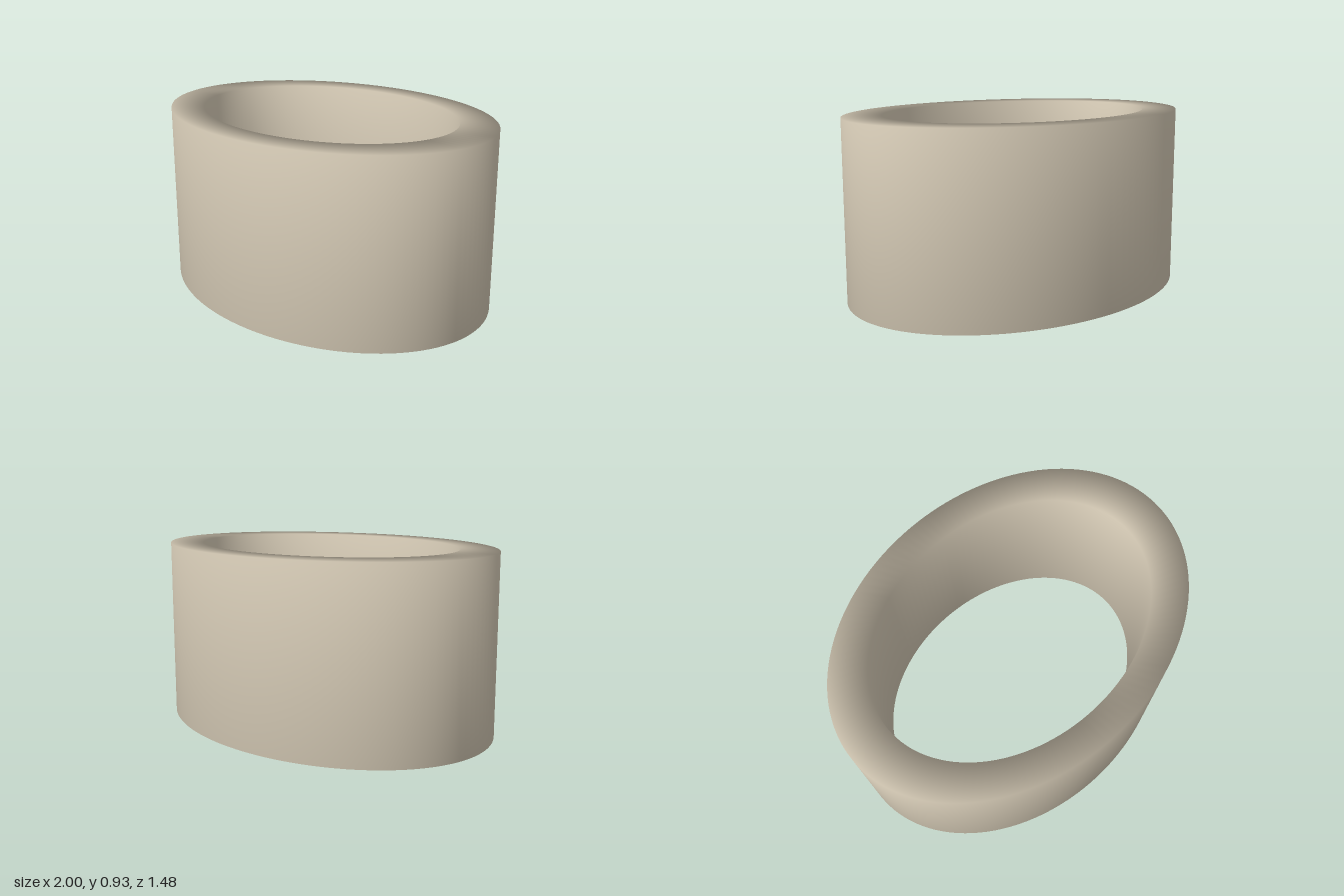
import * as THREE from 'three';
import { mergeVertices } from 'three/addons/utils/BufferGeometryUtils.js';

const HEIGHT = 0.93;
const OUTER = 1;
const INNER = 0.785;
const DEPTH_RATIO = 0.74; // squashes the round ring into an ellipse

export function createModel() {
  const group = new THREE.Group();
  group.name = 'ovalRing';

  // Closed wall section: up the outside, across the rim, down the inside
  const section = [
    [OUTER, 0], [OUTER, HEIGHT], [INNER, HEIGHT], [INNER, 0], [OUTER, 0],
  ].map(([r, y]) => new THREE.Vector2(r, y));

  let geometry = new THREE.LatheGeometry(section, 128);
  geometry.scale(1, 1, DEPTH_RATIO);

  // Weld the seams so the shading runs smoothly over the rims
  geometry.deleteAttribute('uv');
  geometry.deleteAttribute('normal');
  geometry = mergeVertices(geometry);
  geometry.computeVertexNormals();

  const wall = new THREE.Mesh(
    geometry,
    new THREE.MeshStandardMaterial({ color: 0xd8cdb8 })
  );
  wall.name = 'ovalWall';
  group.add(wall);
  return group;
}
